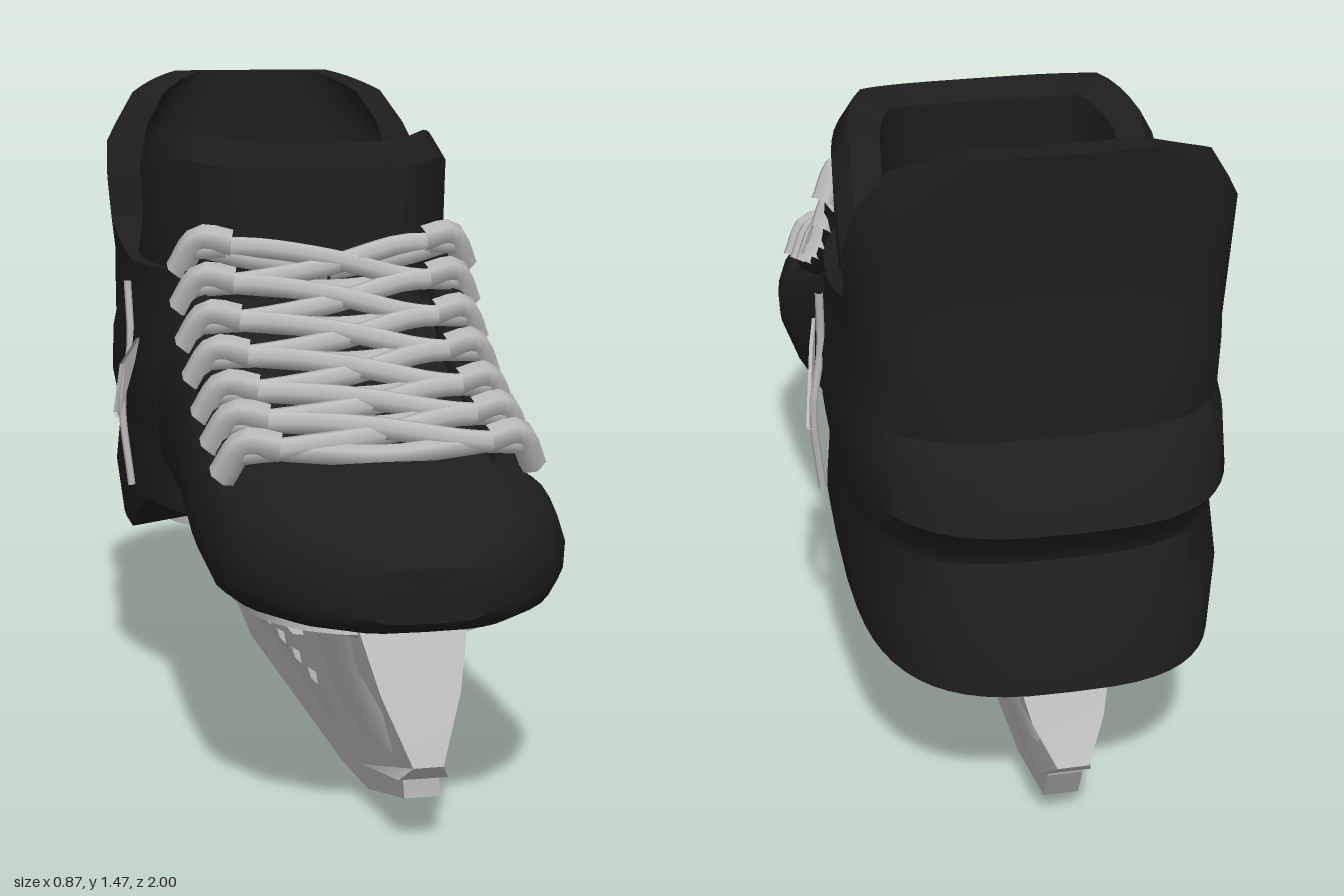
import * as THREE from 'three';
import { toCreasedNormals } from 'three/addons/utils/BufferGeometryUtils.js';

const V = (x, y, z) => new THREE.Vector3(x, y, z);

// Linear lookup in a table of [key, value] pairs with rising keys
function at(table, k) {
  if (k <= table[0][0]) return table[0][1];
  for (let i = 1; i < table.length; i++) {
    const [a, va] = table[i - 1], [b, vb] = table[i];
    if (k <= b) return va + (vb - va) * (k - a) / (b - a);
  }
  return table[table.length - 1][1];
}

const pow = (v, e) => Math.sign(v) * Math.pow(Math.abs(v), e);

// Closed, capped skin over a row of equal-sized rings
function loft(rings, crease = 0.6) {
  const n = rings[0].length, pos = [], idx = [];
  rings.forEach(r => r.forEach(p => pos.push(p.x, p.y, p.z)));
  for (let i = 0; i < rings.length - 1; i++) {
    for (let j = 0; j < n; j++) {
      const a = i * n + j, a1 = i * n + (j + 1) % n;
      idx.push(a, a + n, a1, a1, a + n, a1 + n);
    }
  }
  [0, rings.length - 1].forEach((r, end) => {
    const c = V(0, 0, 0);
    rings[r].forEach(p => c.addScaledVector(p, 1 / n));
    const ci = pos.length / 3;
    pos.push(c.x, c.y, c.z);
    for (let j = 0; j < n; j++) {
      const a = r * n + j, b = r * n + (j + 1) % n;
      if (end) idx.push(ci, b, a); else idx.push(ci, a, b);
    }
  });
  const g = new THREE.BufferGeometry();
  g.setAttribute('position', new THREE.Float32BufferAttribute(pos, 3));
  g.setIndex(idx);
  return toCreasedNormals(g, crease);
}

// Side outline in (z, y), extruded across x with a half width that varies
function sidePlate(outline, holes, halfWidth) {
  const pts = list => list.map(p => new THREE.Vector2(...p));
  const shape = new THREE.Shape(pts(outline));
  holes.forEach(h => shape.holes.push(new THREE.Path(pts(h))));
  const g = new THREE.ExtrudeGeometry(shape, { depth: 1, bevelEnabled: false });
  g.rotateY(-Math.PI / 2);
  const p = g.attributes.position;
  for (let i = 0; i < p.count; i++) {
    p.setX(i, (p.getX(i) > -0.5 ? 1 : -1) * halfWidth(p.getY(i), p.getZ(i)));
  }
  return toCreasedNormals(g, 0.9);
}

function ringXZ(y, zc, hl, hw) {
  return Array.from({ length: 28 }, (_, i) => {
    const t = i / 28 * Math.PI * 2;
    return V(hw * pow(Math.cos(t), 0.85), y, zc + hl * pow(Math.sin(t), 0.85));
  });
}

export function createModel() {
  const group = new THREE.Group();
  const mat = (name, color) => {
    const m = new THREE.MeshStandardMaterial({ color });
    m.name = name;
    return m;
  };
  const black = mat('black boot', 0x1d1d1d);
  const grey = mat('light grey', 0xbcbcbc);
  const steel = mat('steel grey', 0xacacac);
  const add = (name, geo, m) => {
    const mesh = new THREE.Mesh(geo, m);
    mesh.name = name;
    group.add(mesh);
  };

  // Forefoot and toe cap: sections from the toe backwards [z, half width, bottom, top]
  const foot = [
    [1.0, 0.13, 0.46, 0.57], [0.965, 0.2, 0.435, 0.615], [0.88, 0.29, 0.425, 0.655],
    [0.75, 0.355, 0.415, 0.69], [0.655, 0.37, 0.41, 0.715], [0.63, 0.37, 0.41, 0.69],
    [0.4, 0.37, 0.42, 0.78], [0.2, 0.36, 0.44, 0.88], [0.05, 0.355, 0.455, 0.99],
    [-0.12, 0.36, 0.47, 1.03],
  ];
  add('forefoot', loft(foot.map(([z, w, b, t]) => Array.from({ length: 32 }, (_, i) => {
    const a = i / 32 * Math.PI * 2, s = pow(Math.sin(a), 2 / 3.6);
    return V(w * pow(Math.cos(a), 2 / 3.6) * (1 - 0.1 * Math.max(0, s)), (b + t) / 2 + s * (t - b) / 2, z);
  }))), black);

  // Hollow heel, ankle and tendon guard: u runs from -1 (back) to 1 (front)
  const rim = [[-0.95, 1.47], [-0.73, 1.42], [-0.62, 1.3], [-0.5, 1.12], [0.2, 1.04], [1, 1.04]];
  const base = [[0, 0.36], [0.3, 0.43], [0.5, 0.485], [1, 0.46]];
  const backZ = [[0.36, -0.98], [0.5, -0.945], [0.62, -0.89], [0.65, -0.9], [0.73, -0.985],
    [0.84, -0.93], [0.88, -0.86], [1.2, -0.81], [1.47, -0.845]];
  const wide = [[0.36, 0.375], [0.5, 0.395], [0.63, 0.385], [0.73, 0.4], [0.84, 0.4],
    [0.9, 0.39], [1.04, 0.39], [1.2, 0.41], [1.3, 0.415], [1.42, 0.35], [1.47, 0.3]];
  const lining = [[0.5, 0.2], [0.8, 0.13], [1.04, 0.08]];
  const levels = [0.36, 0.5, 0.62, 0.65, 0.73, 0.84, 0.88, 1.0, 1.04, 1.1, 1.2, 1.3, 1.36, 1.42, 1.47];
  const shellRing = (level, inner) => Array.from({ length: 56 }, (_, i) => {
    const a = i / 56 * Math.PI * 2;
    // Round heel below, squarer guard above
    const n = 2 / (Math.sin(a) > 0 ? (inner ? 2.3 : 2.9) : at([[0.84, 3], [1.0, 4]], level));
    const c = pow(Math.cos(a), n), u = pow(Math.sin(a), n);
    const y = Math.min(Math.max(level, at(base, u)), at(rim, u));
    // The lining stays smooth while the outside follows the padded heel
    const back = inner ? Math.max(at(backZ, y), -0.85) + 0.06 : at(backZ, y);
    const front = inner ? -0.04 : 0.05;
    return V(c * (at(wide, y) - (inner ? at(lining, y) : 0)), y, -0.45 + u * (u < 0 ? -0.45 - back : front + 0.45));
  });
  add('heelAndCuff', loft([
    ...levels.map(l => shellRing(l, false)),
    ...levels.slice(1).reverse().map(l => shellRing(l, true)),
  ]), black);

  // Tongue: a padded U that wraps the front of the ankle
  const tongueTop = [[-0.43, 1.07], [-0.36, 1.18], [-0.22, 1.32], [-0.05, 1.355], [0.05, 1.33]];
  add('tongue', loft(Array.from({ length: 25 }, (_, i) => {
    const a = i / 24 * Math.PI;
    const c = pow(Math.cos(a), 0.6), s = Math.pow(Math.max(0, Math.sin(a)), 0.6);
    const wall = (inset, y) => V(c * (0.36 - inset), y, -0.43 + s * (0.475 - inset));
    const top = at(tongueTop, -0.43 + s * 0.475);
    return [wall(0.035, top), wall(0, top - 0.06), wall(0.01, 0.9), wall(0.1, 0.9), wall(0.1, top - 0.03)];
  })), black);

  // Insole: leaf shape with a blunt heel
  const leaf = [[0.02, -0.14], [0.09, -0.25], [0.14, -0.42], [0.135, -0.55], [0.09, -0.74]];
  const sole = y => [...leaf, ...leaf.map(([x, z]) => [-x, z]).reverse()].reverse().map(([x, z]) => V(x, y, z));
  add('insole', loft([sole(0.5), sole(0.545)]), grey);

  // Blade holder with windows along its lower rail
  const windows = [0.28, 0.105, -0.07, -0.25].map(z =>
    [[z + 0.055, 0.185], [z + 0.035, 0.15], [z - 0.05, 0.14], [z - 0.055, 0.165]]);
  windows.push([[-0.38, 0.155], [-0.51, 0.2], [-0.52, 0.235], [-0.45, 0.205]]);
  const holderWidth = [[0.07, 0.05], [0.2, 0.085], [0.3, 0.1], [0.44, 0.115]];
  const endTaper = [[0, 1], [0.88, 1], [0.96, 0.75], [1, 0.4]];
  add('bladeHolder', sidePlate([
    [0.87, 0.43], [0.94, 0.3], [1, 0.17], [0.96, 0.135], [0.65, 0.07], [-0.65, 0.07], [-0.93, 0.13],
    [-1, 0.19], [-0.95, 0.27], [-0.9, 0.37], [-0.6, 0.4], [-0.22, 0.48], [-0.3, 0.42], [-0.355, 0.33],
    [-0.36, 0.26], [-0.25, 0.225], [-0.05, 0.21], [0.12, 0.215], [0.26, 0.25], [0.22, 0.36], [0.13, 0.42],
  ], windows, (y, z) => at(holderWidth, y) * at(endTaper, Math.abs(z))), grey);

  // Rounded columns that spread out under the sole
  add('toeColumn', loft([
    ringXZ(0.17, 0.62, 0.33, 0.07), ringXZ(0.25, 0.61, 0.34, 0.1), ringXZ(0.34, 0.57, 0.35, 0.115),
    ringXZ(0.39, 0.54, 0.35, 0.135), ringXZ(0.408, 0.51, 0.37, 0.3), ringXZ(0.43, 0.5, 0.37, 0.31),
  ], 1), grey);
  add('heelColumn', loft([
    ringXZ(0.17, -0.66, 0.28, 0.07), ringXZ(0.25, -0.65, 0.28, 0.1),
    ringXZ(0.325, -0.64, 0.27, 0.125), ringXZ(0.353, -0.64, 0.28, 0.28), ringXZ(0.4, -0.64, 0.28, 0.28),
  ], 1), grey);

  // Steel runner
  add('runner', sidePlate([
    [0.94, 0.14], [0.955, 0.095], [0.65, 0.015], [0.4, 0], [-0.66, 0.005], [-0.9, 0.055], [-0.935, 0.13],
    [-0.65, 0.08], [0.65, 0.08],
  ], [], () => 0.037), steel);

  // Laces: bands and crossing strands climbing the instep, with eyelet facings beneath
  const rows = [[0.62, 0.735], [0.5, 0.775], [0.385, 0.82], [0.275, 0.88], [0.18, 0.945], [0.11, 1.02], [0.075, 1.1]];
  const tube = (pts, r, seg = 16, sides = 6) =>
    new THREE.TubeGeometry(new THREE.CatmullRomCurve3(pts.map(p => V(...p))), seg, r, sides, false);
  rows.slice(0, -1).forEach(([z, y]) => add('laceBand', tube([
    [0.31, y + 0.015, z - 0.015], [0.16, y, z], [0, y - 0.012, z + 0.005], [-0.16, y, z], [-0.31, y + 0.015, z - 0.015],
  ], 0.023), grey));
  for (const s of [1, -1]) {
    add('eyeletFacing', tube(rows.map(([z, y]) => [s * 0.285, y - 0.055, z - 0.02]), 0.045, 24, 8), black);
    rows.forEach(([z, y], i) => {
      // Lace end tucked over the facing
      add('laceEnd', tube([[s * 0.22, y + 0.015, z + 0.015], [s * 0.29, y + 0.025, z], [s * 0.335, y - 0.05, z - 0.035]], 0.031, 8), grey);
      if (i === rows.length - 1) return;
      const [z2, y2] = rows[i + 1], zm = (z + z2) / 2, ym = (y + y2) / 2;
      add('crossingLace', tube([
        [s * 0.31, y, z - 0.01], [s * 0.18, y + 0.012, z], [0, ym + 0.01 + s * 0.008, zm + 0.015],
        [-s * 0.18, y2 + 0.005, z2 + 0.01], [-s * 0.31, y2, z2 - 0.01],
      ], 0.025), grey);
    });
    const [zt, yt] = rows[rows.length - 1];
    add('topLace', tube([[s * 0.3, yt + 0.01, zt - 0.02], [s * 0.18, yt - 0.02, zt], [0, yt - 0.05, zt + 0.01]], 0.028), grey);

    // Thin trim cord and flap on the ankle side
    add('ankleCord', tube([[s * 0.4, 0.99, -0.31], [s * 0.398, 0.84, -0.29], [s * 0.418, 0.7, -0.295], [s * 0.4, 0.5, -0.28]], 0.009), grey);
    const corners = [[0.395, 0.87, -0.18], [0.405, 0.81, -0.195], [0.43, 0.66, -0.29], [0.432, 0.67, -0.325], [0.418, 0.79, -0.305]];
    const ring = d => corners.map(([x, y, z]) => V(s * (x + d), y, z));
    add('ankleFlap', loft(s > 0 ? [ring(-0.004), ring(0.004)] : [ring(0.004), ring(-0.004)]), grey);
  }

  return group;
}
